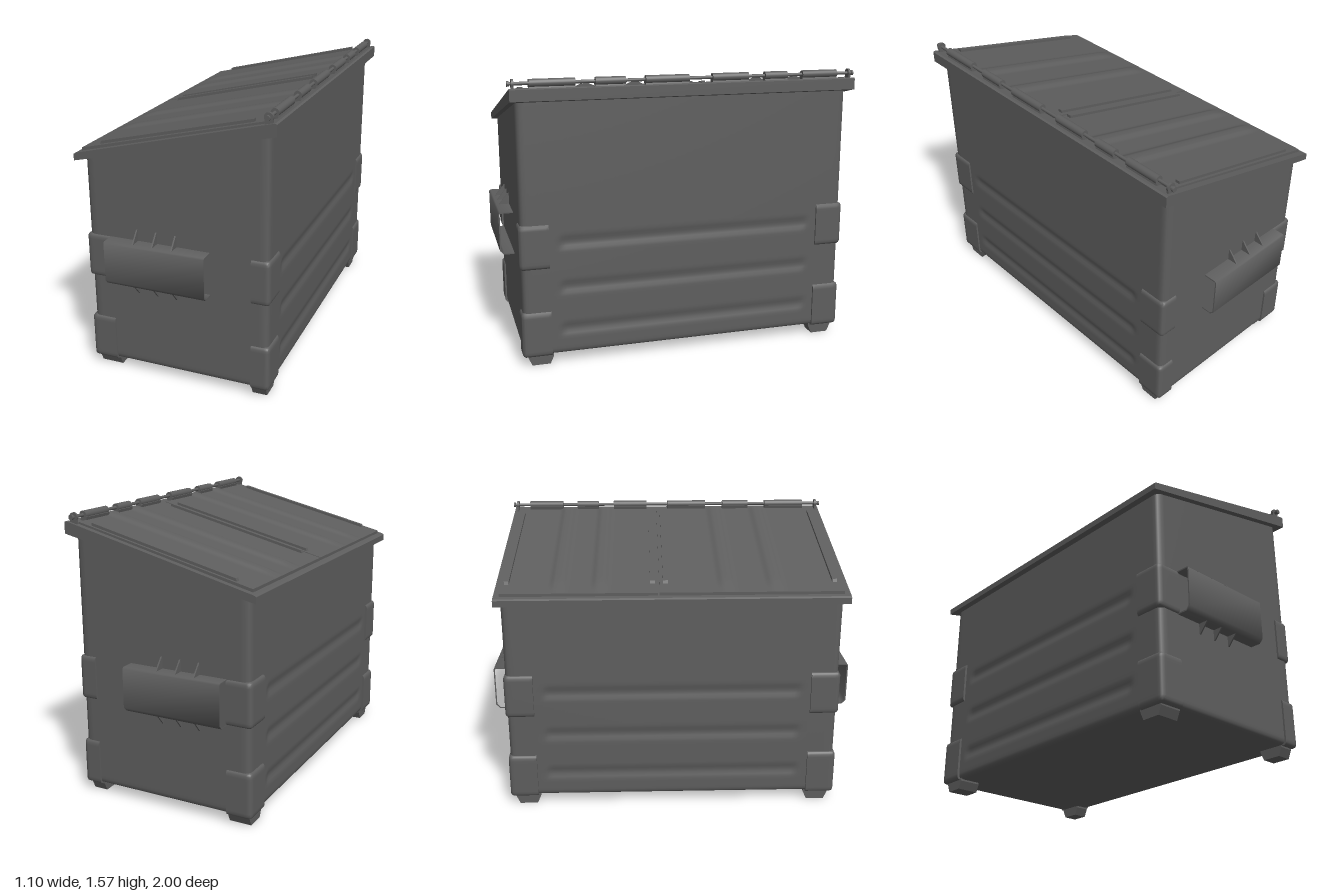
import * as THREE from 'three';
import { toCreasedNormals } from 'three/addons/utils/BufferGeometryUtils.js';

const material = new THREE.MeshStandardMaterial({ color: 0x5e5e5e });
const { clamp, smoothstep } = THREE.MathUtils;

function add(parent, name, geometry, x = 0, y = 0, z = 0) {
  const mesh = new THREE.Mesh(geometry, material);
  mesh.name = name;
  mesh.position.set(x, y, z);
  parent.add(mesh);
  return mesh;
}

// Moves every vertex of a geometry by a rule
function reshape(geometry, crease, rule) {
  const p = geometry.attributes.position;
  const v = new THREE.Vector3();
  for (let i = 0; i < p.count; i++) {
    rule(v.fromBufferAttribute(p, i));
    p.setXYZ(i, v.x, v.y, v.z);
  }
  return toCreasedNormals(geometry, crease);
}

// Pulls a vertex to within a radius of the nearest inner point, rounding the edges
function roundTo(v, inner, radius) {
  const offset = v.clone().sub(inner);
  if (offset.length() > radius) v.copy(inner).add(offset.setLength(radius));
}

const outline = (points) => points.map(([a, b]) => new THREE.Vector2(a, b));

// Extrudes a [z, y] outline along x
function extrudeX(points, x0, x1, hole) {
  const shape = new THREE.Shape(outline(points));
  if (hole) shape.holes.push(new THREE.Path(outline(hole)));
  return new THREE.ExtrudeGeometry(shape, { depth: x1 - x0, bevelEnabled: false })
    .rotateY(-Math.PI / 2).translate(x1, 0, 0);
}

// Extrudes an [x, y] outline along z
function extrudeZ(points, z0, z1) {
  return new THREE.ExtrudeGeometry(new THREE.Shape(outline(points)), { depth: z1 - z0, bevelEnabled: false })
    .translate(0, 0, z0);
}

const W = 0.505, L = 0.92, BOTTOM = 0.055, R = 0.028;
const lidTop = (x) => 1.397 + 0.247 * x;

// Container with rounded edges, sloping top and pressed grooves in the long sides
function bodyGeometry() {
  const height = 1.4;
  const box = new THREE.BoxGeometry(2 * W, height, 2 * L, 40, 84, 92).translate(0, BOTTOM + height / 2, 0);
  const inner = new THREE.Vector3();
  return reshape(box, 0.6, (v) => {
    const side = Math.abs(v.x) > W - 1e-4 ? Math.sign(v.x) : 0;
    inner.set(clamp(v.x, R - W, W - R), Math.max(v.y, BOTTOM + R), clamp(v.z, R - L, L - R));
    roundTo(v, inner, R);
    for (const y of [0.2, 0.44, 0.69]) {
      const dy = 1 - smoothstep(Math.abs(v.y - y), 0.005, 0.045);
      const dz = 1 - smoothstep(Math.abs(v.z), 0.69, 0.73);
      v.x -= side * 0.009 * dy * dz;
    }
    if (v.y > 0.85) v.y = 0.85 + (v.y - 0.85) * (1.35 + 0.227 * v.x - 0.85) / (BOTTOM + height - 0.85);
  });
}

// Corner guard, rounded towards the outside and square where it meets the walls
function guardGeometry(x0, x1, y0, y1, sz) {
  const sx = Math.sign(x0), r = 0.02;
  const box = new THREE.BoxGeometry(x1 - x0, y1 - y0, 0.16, 10, 16, 10)
    .translate((x0 + x1) / 2, (y0 + y1) / 2, sz * 0.85);
  const outerX = Math.max(Math.abs(x0), Math.abs(x1)) - r;
  const inner = new THREE.Vector3();
  return reshape(box, 1, (v) => {
    inner.set(sx * Math.min(sx * v.x, outerX), clamp(v.y, y0 + r, y1 - r), sz * Math.min(sz * v.z, 0.93 - r));
    // keep the inward edges sharp
    if (sx * v.x > outerX || sz * v.z > 0.93 - r) roundTo(v, inner, r);
  });
}

// Lid panel with two raised ribs fading out at the low end
function panelGeometry(z0, z1, spread) {
  const width = z1 - z0, mid = (z0 + z1) / 2;
  const box = new THREE.BoxGeometry(1.005, 0.04, width, 24, 1, 90).translate(-0.0175, 0, mid);
  return reshape(box, 0.6, (v) => {
    let rise = 0;
    if (v.y > 0) {
      for (const z of [mid - spread, mid + spread]) {
        rise += 0.014 * (1 - smoothstep(Math.abs(v.z - z), 0.015, 0.055));
      }
      rise *= smoothstep(v.x, -0.52, -0.41);
    }
    v.y += lidTop(v.x) - 0.02 + rise;
  });
}

export function createModel() {
  const model = new THREE.Group();
  model.name = 'dumpster';
  add(model, 'body', bodyGeometry());

  // Corner guards and feet
  for (const s of [-1, 1]) {
    for (const [x0, x1] of [[-0.518, -0.375], [0.415, 0.515]]) {
      for (const [y0, y1] of [[0.053, 0.31], [0.55, 0.797]]) {
        add(model, 'cornerGuard', guardGeometry(x0, x1, y0, y1, s));
      }
    }
    for (const [x0, x1] of [[-0.495, -0.37], [0.41, 0.492]]) {
      add(model, 'foot', extrudeX([[s * 0.78, 0], [s * 0.88, 0], [s * 0.9, 0.045], [s * 0.9, 0.08],
        [s * 0.76, 0.08], [s * 0.76, 0.045]], x0, x1));
    }
  }

  // Open fork sleeves with gussets on both ends
  for (const s of [-1, 1]) {
    const sleeve = new THREE.Group();
    sleeve.name = 'forkSleeve';
    model.add(sleeve);
    const ring = (t) => [[0.912 + t, 0.55 + t], [0.978 - t * 0.4, 0.55 + t], [1 - t, 0.573 + t * 0.4],
      [1 - t, 0.787 - t * 0.4], [0.992 - t * 0.4, 0.795 - t], [0.912 + t, 0.795 - t]].map(([z, y]) => [s * z, y]);
    add(sleeve, 'sleeveTube', toCreasedNormals(extrudeX(ring(0), -0.378, 0.19, ring(0.007)), 1));
    for (const x of [-0.22, -0.11, 0]) {
      add(sleeve, 'upperGusset', extrudeX([[s * 0.91, 0.79], [s * 0.982, 0.79], [s * 0.925, 0.858], [s * 0.91, 0.858]],
        x - 0.004, x + 0.004));
      add(sleeve, 'lowerGusset', extrudeX([[s * 0.91, 0.555], [s * 0.978, 0.555], [s * 0.925, 0.492], [s * 0.91, 0.492]],
        x - 0.004, x + 0.004));
    }
  }

  // Sloping rim and two lid panels
  add(model, 'rim', extrudeZ([[-0.552, 1.205], [0.55, 1.455], [0.55, 1.515], [0.54, 1.52], [-0.542, 1.247],
    [-0.552, 1.24]], -0.951, 0.951));
  add(model, 'lidPanel', panelGeometry(-0.918, -0.08, 0.112));
  add(model, 'lidPanel', panelGeometry(-0.07, 0.918, 0.132));
  for (const z of [-0.89, -0.107, -0.037, 0.88]) {
    add(model, 'lidEdgeStrip', extrudeZ([[-0.43, lidTop(-0.43) - 0.01], [0.415, lidTop(0.415) - 0.01],
      [0.415, lidTop(0.415) + 0.015], [-0.42, lidTop(-0.42) + 0.015]], z - 0.013, z + 0.013));
  }

  // Hinge rod, knuckles and end lugs along the high edge
  const rod = (radius, length) => new THREE.CylinderGeometry(radius, radius, length, 20).rotateX(Math.PI / 2);
  const hx = 0.503, hy = 1.542;
  add(model, 'hingeRod', rod(0.009, 1.91), hx, hy, 0);
  for (const [z0, z1] of [[-0.855, -0.65], [-0.56, -0.43], [-0.335, -0.13], [0, 0.238], [0.345, 0.505], [0.61, 0.848]]) {
    const z = (z0 + z1) / 2;
    add(model, 'hingeKnuckle', rod(0.022, z1 - z0), hx, hy, z);
    add(model, 'hingeLeaf', new THREE.BoxGeometry(0.036, 0.03, z1 - z0), hx - 0.004, hy - 0.02, z).rotation.z = 0.24;
  }
  for (const s of [-1, 1]) {
    add(model, 'hingeLug', rod(0.024, 0.012), hx, hy, s * 0.93);
    add(model, 'hingeLugBase', new THREE.BoxGeometry(0.042, 0.05, 0.012), hx, hy - 0.025, s * 0.93);
    add(model, 'hingeBolt', rod(0.014, 0.012), hx, hy, s * 0.952);
  }
  return model;
}
